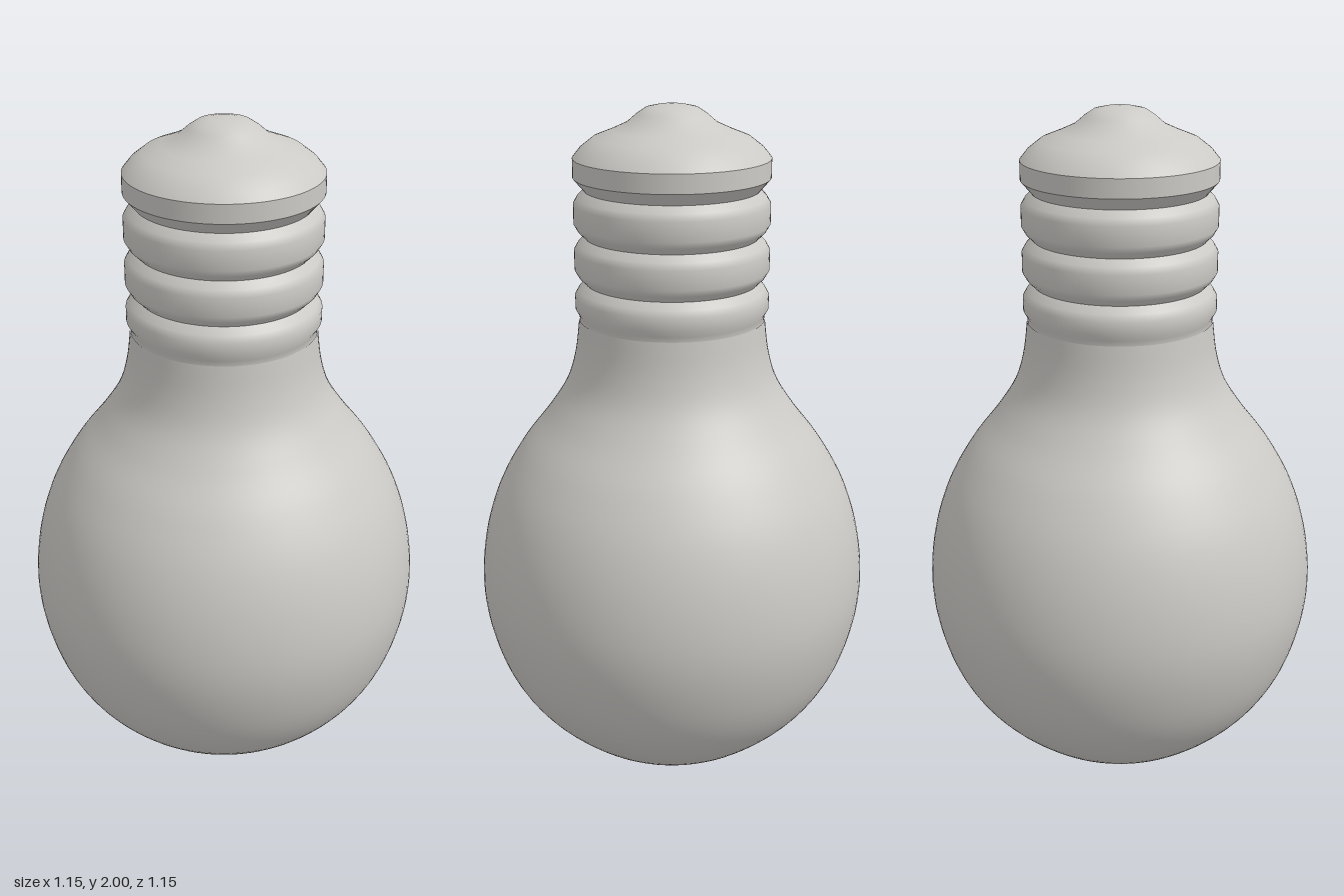
import * as THREE from 'three';

const SEGMENTS = 96;

export function createModel() {
  const group = new THREE.Group();
  const grey = new THREE.MeshStandardMaterial({ color: 0xcccac6 });
  grey.name = 'warm grey';

  // Revolves [radius, height] points, listed from bottom to top
  const addLathe = (name, profile, smoothSteps = 0) => {
    let points = profile.map(([r, y]) => new THREE.Vector2(r, y));
    if (smoothSteps) points = new THREE.SplineCurve(points).getPoints(smoothSteps);
    points.forEach((p) => { p.x = Math.max(p.x, 0); });
    const mesh = new THREE.Mesh(new THREE.LatheGeometry(points, SEGMENTS), grey);
    mesh.name = name;
    group.add(mesh);
  };

  // Glass envelope: round bulb flowing into the neck
  addLathe('glassBulb', [
    [0, 0.005], [0.1, 0.013], [0.2, 0.035], [0.31, 0.092], [0.43, 0.2],
    [0.51, 0.32], [0.558, 0.46], [0.575, 0.6], [0.559, 0.75], [0.515, 0.89],
    [0.445, 1.015], [0.365, 1.12], [0.308, 1.21], [0.28, 1.3], [0.267, 1.4],
  ], 64);

  // Screw base: three rounded thread rings
  const rings = [[1.395, 1.507, 0.265], [1.507, 1.637, 0.247], [1.637, 1.768, 0.247]];
  rings.forEach(([bottom, top, startRadius], i) => {
    addLathe(`threadRing${i + 1}`, [
      [startRadius, bottom], [0.266, bottom + 0.019], [0.277, bottom + 0.038],
      [0.277, top - 0.038], [0.266, top - 0.019], [0.247, top],
    ]);
  });

  // End cap: sloped underside, straight rim and contact dome
  addLathe('capUnderside', [[0.247, 1.768], [0.277, 1.803]]);
  addLathe('capRim', [[0.277, 1.803], [0.277, 1.856]]);
  addLathe('contactDome', [
    [0.277, 1.856], [0.256, 1.882], [0.22, 1.91], [0.17, 1.93], [0.126, 1.95],
    [0.098, 1.974], [0.072, 1.991], [0.04, 1.998], [0, 2],
  ]);

  return group;
}
